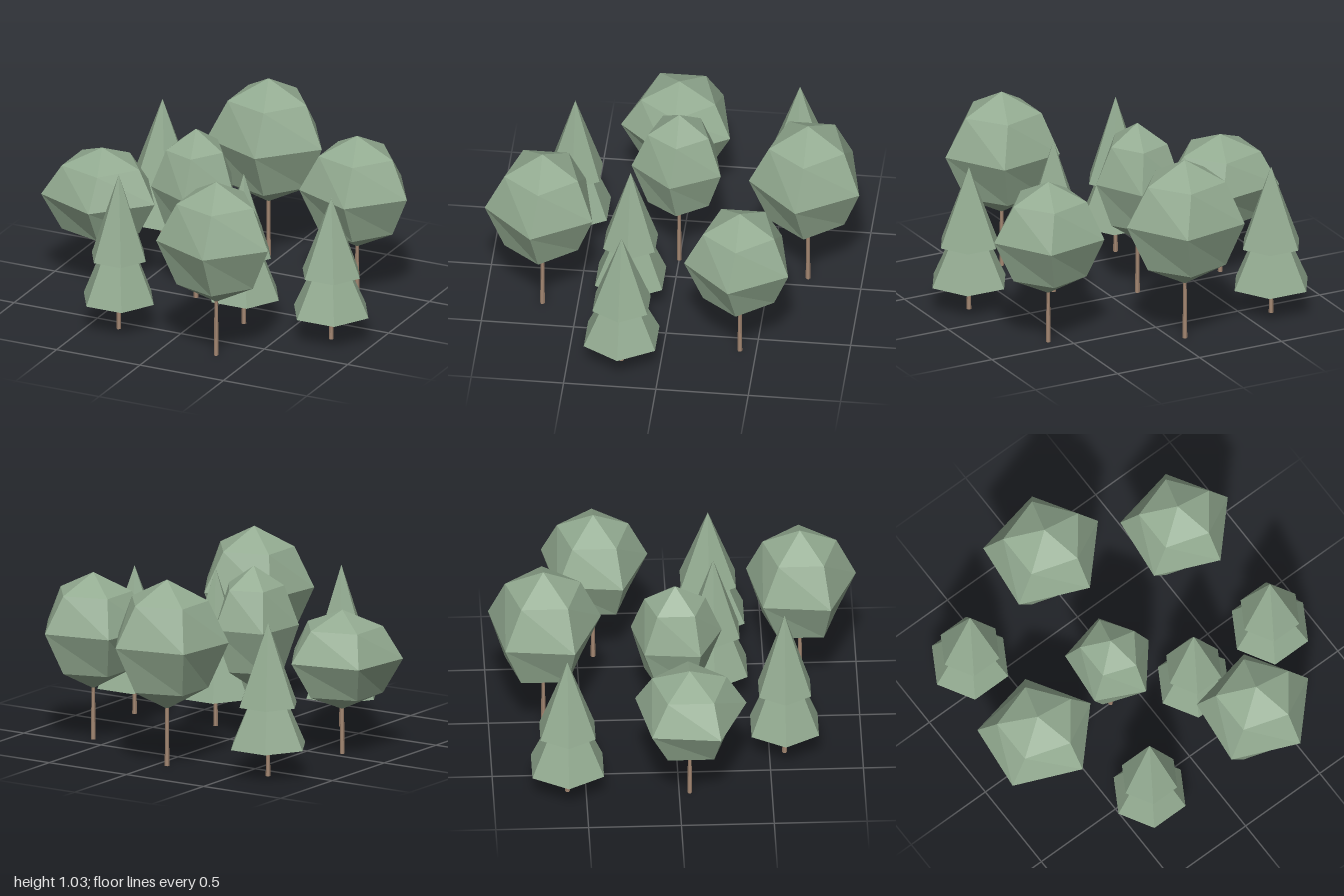
import * as THREE from 'three';

const leaf = new THREE.MeshStandardMaterial({ color: 0x93ab91, flatShading: true });
leaf.name = 'sage green leaves';
const bark = new THREE.MeshStandardMaterial({ color: 0xa0846f, flatShading: true });
bark.name = 'brown bark';

function part(parent, name, geometry, material, y) {
  const mesh = new THREE.Mesh(geometry, material);
  mesh.name = name;
  mesh.position.y = y;
  parent.add(mesh);
  return mesh;
}

function trunk(parent, height) {
  part(parent, 'trunk', new THREE.CylinderGeometry(0.009, 0.013, height, 6), bark, height / 2);
}

// Five-sided faceted crown: the widest ring is turned slightly against the other rings
function crownGeometry(rx, rz, halfHeight) {
  const geo = new THREE.SphereGeometry(1, 5, 4, Math.PI);
  const p = geo.attributes.position;
  const twist = THREE.MathUtils.degToRad(6);
  for (let i = 0; i < p.count; i++) {
    const x = p.getX(i), y = p.getY(i), z = p.getZ(i);
    const r = Math.hypot(x, z);
    const middle = Math.abs(y) < 0.01;
    const pole = r < 0.01;
    const a = Math.atan2(z, x) + (middle ? twist : 0);
    const radius = pole ? 0 : middle ? 1 : 0.67;
    const h = pole ? Math.sign(y) : middle ? 0.04 : Math.sign(y) * 0.67;
    p.setXYZ(i, Math.cos(a) * radius * rx, h * halfHeight, Math.sin(a) * radius * rz);
  }
  const flat = geo.toNonIndexed();
  flat.computeVertexNormals();
  return flat;
}

function roundTree([x, z, rx, rz, bottom, top]) {
  const tree = new THREE.Group();
  tree.name = 'roundTree';
  trunk(tree, bottom + 0.06);
  part(tree, 'crown', crownGeometry(rx, rz, (top - bottom) / 2), leaf, (top + bottom) / 2);
  tree.position.set(x, 0, z);
  return tree;
}

// Conifer of two stacked six-sided cones with corners on the x axis
function coneTree([x, z, radius, height]) {
  const tree = new THREE.Group();
  tree.name = 'coneTree';
  const base = height * 0.195, mid = height * 0.465;
  trunk(tree, base + 0.04);
  const tier = (name, r, y0, y1) => {
    const mesh = part(tree, name, new THREE.ConeGeometry(r, y1 - y0, 6), leaf, (y0 + y1) / 2);
    mesh.rotation.y = Math.PI / 6;
  };
  tier('lowerTier', radius, base, height * 0.77);
  tier('upperTier', radius * 0.77, mid, height);
  tree.position.set(x, 0, z);
  return tree;
}

export function createModel() {
  const grove = new THREE.Group();
  grove.name = 'grove';
  // x, z, radius along x, radius along z, crown bottom, crown top
  [
    [0.305, 0.69, 0.328, 0.312, 0.31, 1.005],
    [-0.067, -0.707, 0.338, 0.32, 0.315, 1.03],
    [0.609, -0.412, 0.316, 0.302, 0.283, 0.925],
    [-0.69, 0.057, 0.333, 0.316, 0.247, 0.795],
    [-0.155, 0, 0.238, 0.258, 0.302, 0.98],
  ].forEach((t) => grove.add(roundTree(t)));
  // x, z, radius, height
  [
    [-0.65, -0.6, 0.223, 0.845],
    [0.24, 0.22, 0.21, 0.87],
    [0.76, 0.212, 0.223, 0.82],
    [-0.332, 0.582, 0.21, 0.895],
  ].forEach((t) => grove.add(coneTree(t)));
  return grove;
}
